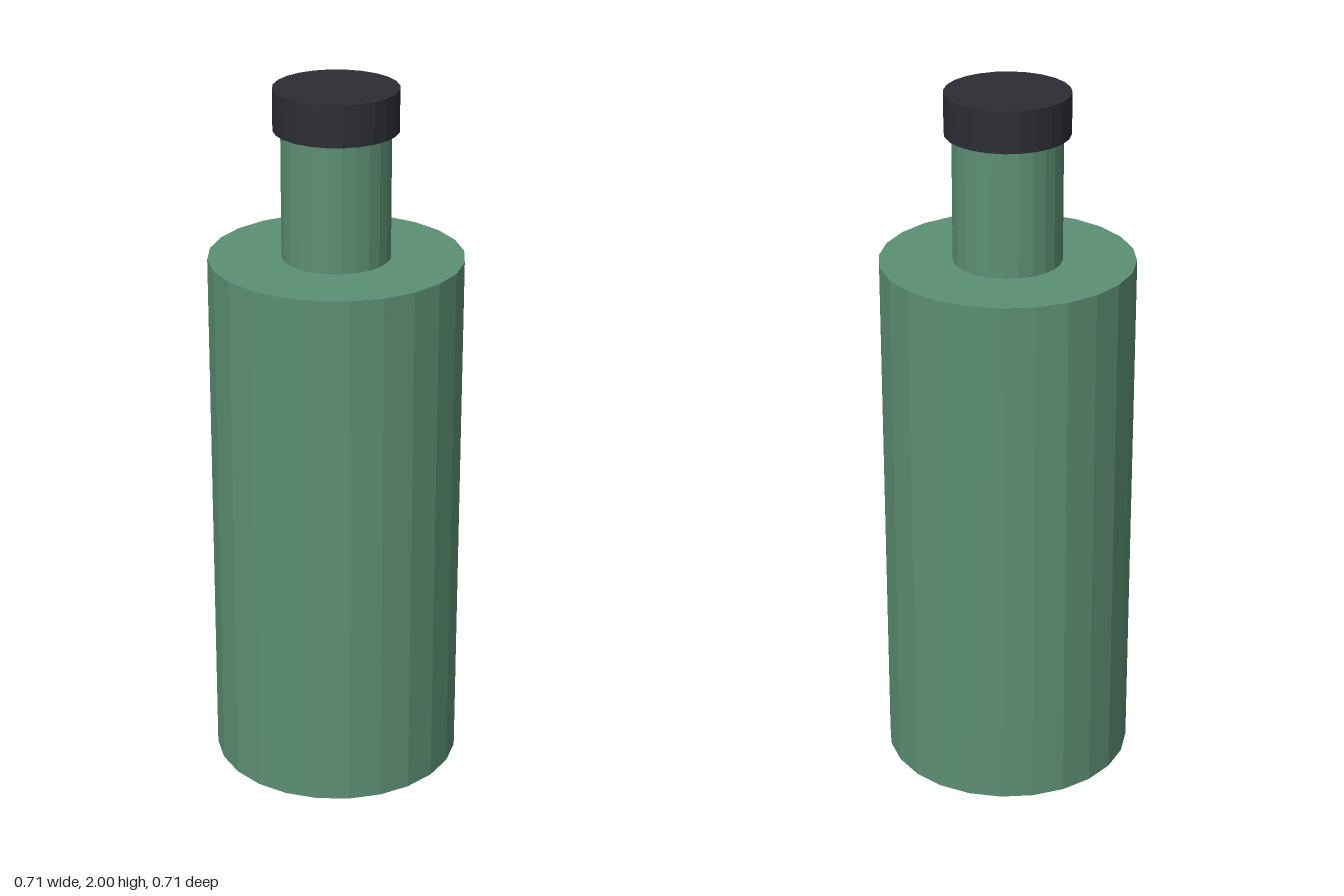
import * as THREE from 'three';

const SIDES = 24;

export function createModel() {
  const bottle = new THREE.Group();
  bottle.name = 'bottle';

  const glass = new THREE.MeshStandardMaterial({ color: 0x5c8f73, flatShading: true });
  const dark = new THREE.MeshStandardMaterial({ color: 0x2b2d33, flatShading: true });

  // Upright cylinder between two heights
  function addCylinder(name, radius, bottom, top, material) {
    const geometry = new THREE.CylinderGeometry(radius, radius, top - bottom, SIDES);
    const mesh = new THREE.Mesh(geometry, material);
    mesh.name = name;
    mesh.position.y = (bottom + top) / 2;
    bottle.add(mesh);
  }

  addCylinder('body', 0.354, 0, 1.525, glass);
  addCylinder('neck', 0.151, 1.525, 1.884, glass);
  addCylinder('cap', 0.172, 1.884, 2, dark);

  return bottle;
}
